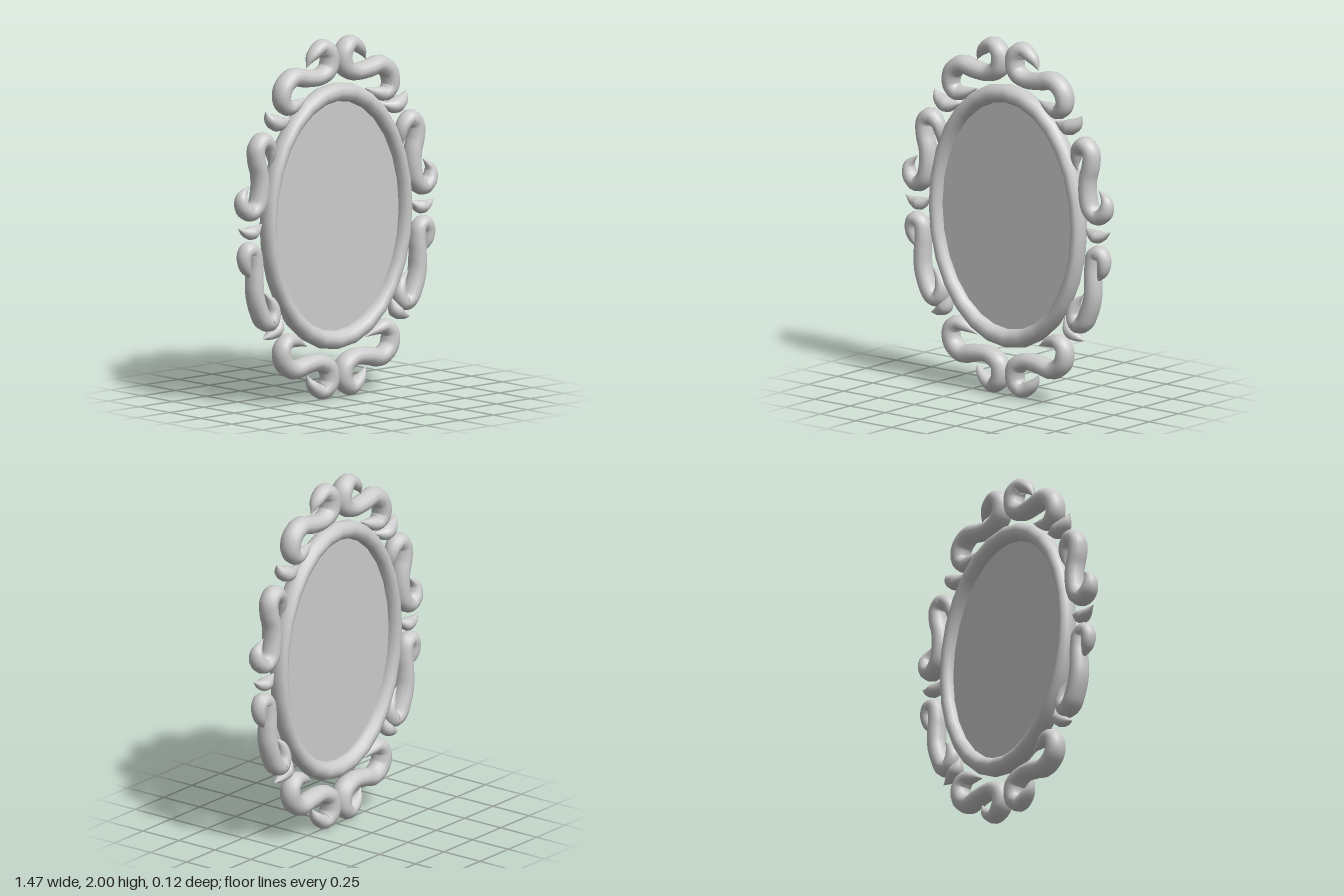
import * as THREE from 'three';

const material = new THREE.MeshStandardMaterial({ color: 0xcccccc });
const SIDES = 12;

// Sweep an oval section along planar points (x, y, half width); depth(r) gives the half depth
function sweep(points, depth, closed) {
  const n = points.length, pos = [], idx = [];
  points.forEach((p, i) => {
    const a = points[closed ? (i + n - 1) % n : Math.max(i - 1, 0)];
    const b = points[closed ? (i + 1) % n : Math.min(i + 1, n - 1)];
    const len = Math.hypot(b.x - a.x, b.y - a.y);
    const nx = -(b.y - a.y) / len, ny = (b.x - a.x) / len;
    const r = Math.max(p.z, 0.001);
    for (let j = 0; j < SIDES; j++) {
      const t = (j / SIDES) * Math.PI * 2, w = r * Math.cos(t);
      pos.push(p.x + nx * w, p.y + ny * w, depth(r) * Math.sin(t));
    }
  });
  for (let i = 0; i < (closed ? n : n - 1); i++) {
    for (let j = 0; j < SIDES; j++) {
      const k = (j + 1) % SIDES, m = (i + 1) % n;
      const a = i * SIDES + j, b = i * SIDES + k, c = m * SIDES + j, d = m * SIDES + k;
      idx.push(a, b, c, b, d, c);
    }
  }
  const g = new THREE.BufferGeometry();
  g.setAttribute('position', new THREE.Float32BufferAttribute(pos, 3));
  g.setIndex(idx);
  g.computeVertexNormals();
  return g;
}

// Ornament centre lines on one side: x, y, half width, in hundredths
const ornaments = {
  topScroll: [
    [22, 185, 0], [18, 191, 3], [10.5, 195.5, 4.3], [5.3, 191, 5.2], [6, 183, 5.3],
    [13, 179, 4.8], [23, 179.5, 5], [32, 181, 5.2], [39, 176, 5.2], [40, 168.5, 4.8],
    [36, 164.5, 4.3], [30, 165.5, 3.2], [21.5, 169, 0]],
  upperSideScroll: [
    [49, 133, 0], [48.2, 139.5, 2.6], [49.5, 145, 3.8], [54.5, 148.8, 4.6], [58.8, 145, 4.7],
    [58.8, 138, 4.8], [56.7, 130, 4.8], [56.5, 121, 4.9], [58.7, 113, 4.9], [64, 109.5, 4.6],
    [69, 113, 4.2], [69.8, 119, 3], [64, 125, 0]],
  lowerSideScroll: [
    [63, 72.5, 0], [67, 79, 3], [68, 85.5, 3.8], [65.5, 89.5, 4.1], [61.3, 88, 4.2],
    [60, 81, 4.4], [60.3, 73, 4.7], [60, 64, 4.9], [57.5, 55.5, 5], [53.5, 48.5, 5],
    [49.2, 47.3, 4.7], [46.5, 52.5, 4], [48, 58.5, 2.8], [53.5, 64.5, 0]],
  upperLeaf: [[52.3, 164.5, 0], [48.5, 159.5, 3.4], [43, 156.8, 4.4], [34, 158.5, 0.5]],
  middleLeaf: [[72.5, 102, 0], [66.5, 99, 2.8], [62, 98.5, 3.7], [55, 102.3, 0.3]],
  lowerLeaf: [[54.5, 38.6, 0], [48.8, 40.3, 2.7], [44, 43.2, 3.8], [40.5, 50.5, 0.5]],
};

export function createModel() {
  const model = new THREE.Group();
  model.name = 'ovalWallMirror';
  const add = (name, geometry, mat = material) => {
    const mesh = new THREE.Mesh(geometry, mat);
    mesh.name = name;
    model.add(mesh);
  };

  // Oval frame, wider at top and bottom than at the sides
  const CY = 1.007, oval = [];
  for (let i = 0; i < 28; i++) {
    const a = (i / 28) * Math.PI * 2 + Math.PI / 2;
    oval.push(new THREE.Vector3(0.502 * Math.cos(a), CY + 0.687 * Math.sin(a),
      0.038 + 0.014 * Math.sin(a) ** 2));
  }
  add('frame', sweep(oval, () => 0.056, true));

  // Mirror plate in the middle of the frame
  const plate = new THREE.CircleGeometry(1, 28, Math.PI / 2).scale(0.49, 0.67, 1).translate(0, CY, 0);
  const plateMaterial = material.clone();
  plateMaterial.side = THREE.DoubleSide;
  add('mirrorPlate', plate, plateMaterial);

  // Scrolls and leaves, mirrored left and right
  const ornament = (name, pts, sx, flip) => {
    const curve = new THREE.CatmullRomCurve3(pts.map(([x, y, r]) =>
      new THREE.Vector3(sx * x / 100, flip ? 2 - y / 100 : y / 100, r / 100)));
    add(name, sweep(curve.getPoints(pts.length * 5), (r) => Math.min(r * 1.2, 0.06), false));
  };
  for (const [side, sx] of [['left', 1], ['right', -1]]) {
    for (const [name, pts] of Object.entries(ornaments)) {
      ornament(side + name[0].toUpperCase() + name.slice(1), pts, sx, false);
    }
    ornament(side + 'BottomScroll', ornaments.topScroll, sx, true);
  }
  return model;
}
